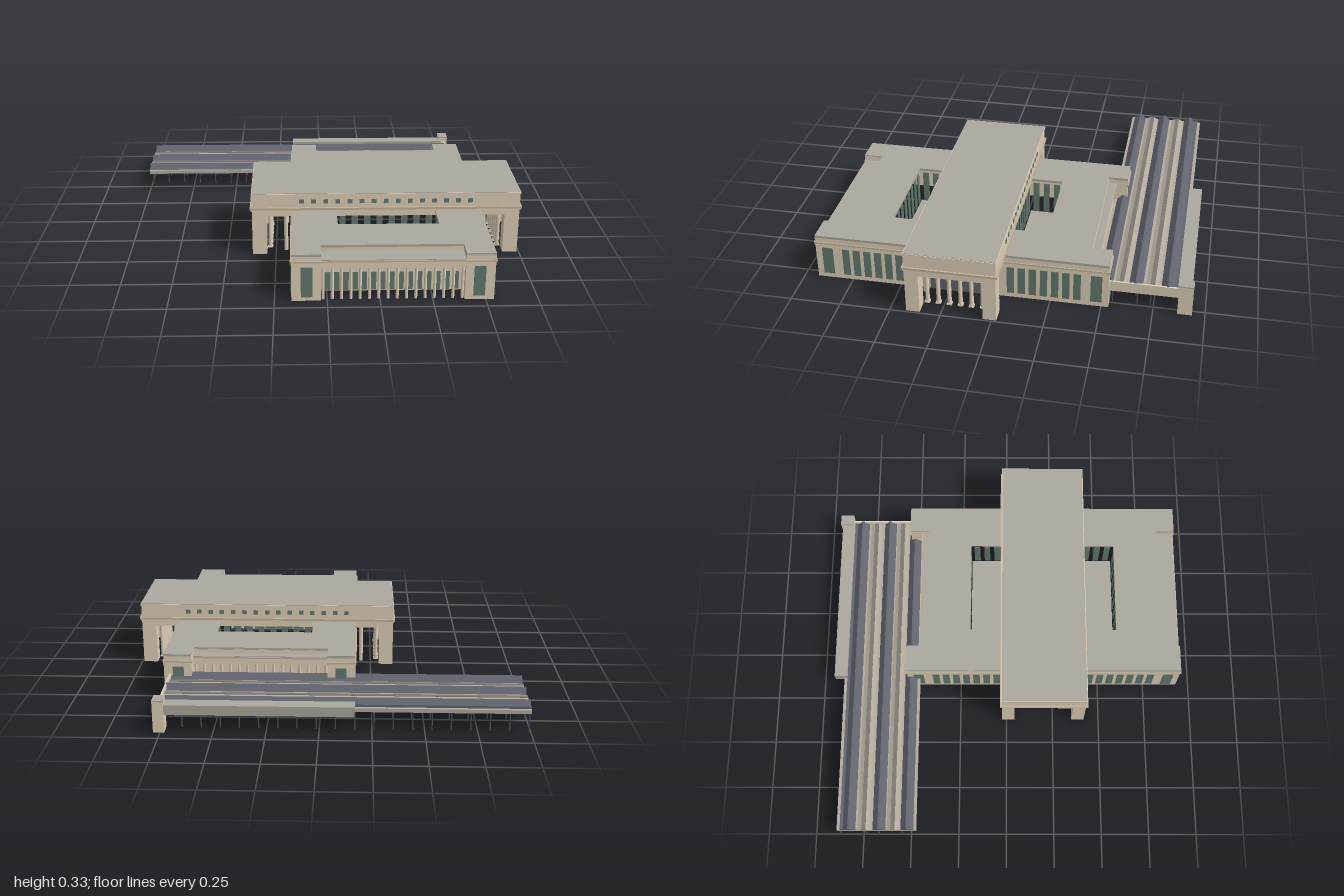
import * as THREE from 'three';

const mat = (name, color, side = THREE.FrontSide) => {
  const m = new THREE.MeshStandardMaterial({ color, side });
  m.name = name;
  return m;
};

export function createModel() {
  const stone = mat('limestone', 0xdfd0b8);
  const trim = mat('cornice stone', 0xc3b297);
  const roof = mat('roof grey', 0xaba89f);
  const glass = mat('green glass', 0x647a70, THREE.DoubleSide);
  const slate = mat('slate blue', 0x62656f);
  const iron = mat('dark iron', 0x4a4c4e);
  const canopyTan = mat('canopy tan', 0xb2aa9d);
  const gutterGrey = mat('gutter grey', 0x7c7872);

  const model = new THREE.Group();
  model.name = 'station';
  const group = (name) => {
    const g = new THREE.Group();
    g.name = name;
    model.add(g);
    return g;
  };
  const add = (parent, name, geo, material) => {
    const m = new THREE.Mesh(geo, material);
    m.name = name;
    parent.add(m);
    return m;
  };
  // Box given by its limits; each pair may be in either order
  const box = (p, name, material, x0, x1, y0, y1, z0, z1) => {
    const g = new THREE.BoxGeometry(Math.abs(x1 - x0), Math.abs(y1 - y0), Math.abs(z1 - z0));
    g.translate((x0 + x1) / 2, (y0 + y1) / 2, (z0 + z1) / 2);
    return add(p, name, g, material);
  };
  const column = (p, name, material, x, z, r, y0, y1, sides = 14) => {
    const g = new THREE.CylinderGeometry(r * 0.88, r, y1 - y0, sides);
    g.translate(x, (y0 + y1) / 2, z);
    return add(p, name, g, material);
  };
  // Profile of [z, y] points drawn out along x
  const prism = (p, name, material, pts, x0, x1) => {
    const s = new THREE.Shape(pts.map(([z, y]) => new THREE.Vector2(-z, y)));
    const g = new THREE.ExtrudeGeometry(s, { depth: x1 - x0, bevelEnabled: false });
    g.rotateY(Math.PI / 2).translate(x0, 0, 0);
    return add(p, name, g, material);
  };
  // Round-headed panel for the bays behind the columns
  const archPanel = new THREE.Shape();
  archPanel.moveTo(-0.0165, 0);
  archPanel.lineTo(0.0165, 0);
  archPanel.lineTo(0.0165, 0.148);
  archPanel.absarc(0, 0.148, 0.0165, 0, Math.PI, false);

  const CX = 0.31, CZ = 0.198, T = 0.012;   // plan centre and wall thickness

  // Front and rear wings, mirrored about the great hall
  for (const s of [1, -1]) {
    const wing = group(s > 0 ? 'frontWing' : 'rearWing');
    const Z = (d) => CZ + s * d;
    const ledge = s > 0 ? 0.727 : 0.668;

    // Flat roof with a notch over the colonnade and a light well by the hall
    const plan = [[-0.17, 0.222], [0.06, 0.222], [0.06, 0.393], [0.56, 0.393], [0.56, 0.222], [0.79, 0.222],
      [0.79, 0.733], [0.65, 0.733], [0.65, 0.631], [-0.03, 0.631], [-0.03, 0.733], [-0.17, 0.733]];
    const shape = new THREE.Shape(plan.map(([x, d]) => new THREE.Vector2(x, -Z(d))));
    const rg = new THREE.ExtrudeGeometry(shape, { depth: 0.012, bevelEnabled: false });
    rg.rotateX(-Math.PI / 2).translate(0, 0.229, 0);
    add(wing, 'wingRoof', rg, roof);

    // Side walls, end pavilions and windows, mirrored left and right
    for (const k of [1, -1]) {
      const X = (o) => CX + k * o;
      box(wing, 'sideWall', stone, X(0.48), X(0.48 - T), 0, 0.236, Z(0.222), Z(0.733));
      box(wing, 'pavilionWall', stone, X(0.48), X(0.34), 0, 0.236, Z(0.733), Z(0.733 - T));
      box(wing, 'pavilionReturn', stone, X(0.34), X(0.34 + T), 0, 0.236, Z(0.733), Z(0.62));
      for (const [y0, y1, out, m] of [[0.19, 0.198, 0.0025, stone], [0.198, 0.206, 0.005, trim]]) {
        box(wing, 'sideCornice', m, X(0.478), X(0.48 + out), y0, y1, Z(0.222), Z(0.733 + out));
        box(wing, 'pavilionCornice', m, X(0.48 + out), X(0.34 - out), y0, y1, Z(0.731), Z(0.733 + out));
      }
      box(wing, 'pavilionWindow', glass, X(0.435), X(0.38), 0.02, 0.175, Z(0.732), Z(0.736));
      box(wing, 'sideWindow', glass, X(0.479), X(0.483), 0.025, 0.175, Z(0.645), Z(0.7));
      for (let i = 0; i < 7; i++) {
        const d = 0.252 + i * 0.0545;
        box(wing, 'sideWindow', glass, X(0.479), X(0.483), 0.025, 0.175, Z(d - 0.018), Z(d + 0.018));
      }
    }

    // Colonnade between the pavilions, with arched bays on the wall behind
    box(wing, 'colonnadeWall', stone, -0.03, 0.65, 0, 0.236, Z(0.631), Z(0.631 - T));
    box(wing, 'colonnadeEntablature', stone, -0.03, 0.65, 0.165, 0.2, Z(0.631), Z(ledge));
    box(wing, 'colonnadeCornice', trim, -0.03, 0.65, 0.198, 0.206, Z(0.631), Z(ledge + 0.005));
    box(wing, 'colonnadeRoof', roof, -0.03, 0.65, 0.206, 0.209, Z(0.631), Z(ledge));
    for (let i = 0; i < 16; i++) {
      const x = -0.02 + i * 0.044;
      column(wing, 'colonnadeColumn', stone, x, Z(ledge - 0.014), 0.0075, 0, 0.165);
      if (i === 15) continue;
      const panel = new THREE.ExtrudeGeometry(archPanel, { depth: 0.004, bevelEnabled: false, curveSegments: 6 });
      panel.translate(x + 0.022, 0, Z(0.632) - 0.002);
      add(wing, 'archedBay', panel, stone);
      box(wing, 'colonnadeWindow', glass, x + 0.007, x + 0.037, 0.005, 0.1, Z(0.633), Z(0.636));
    }

    // Light well with standing windows
    box(wing, 'wellFloor', roof, 0.06, 0.56, 0.035, 0.04, Z(0.222), Z(0.393));
    for (let i = 0; i < 8; i++) {
      const x = 0.09 + i * 0.0629;
      for (const d of [0.216, 0.397])
        box(wing, 'wellWindow', glass, x - 0.016, x + 0.016, 0.04, 0.215, Z(d - 0.002), Z(d + 0.002));
    }
    for (let i = 0; i < 3; i++) {
      const d = 0.252 + i * 0.055;
      for (const x of [0.056, 0.564])
        box(wing, 'wellWindow', glass, x - 0.002, x + 0.002, 0.04, 0.215, Z(d - 0.016), Z(d + 0.016));
    }
  }

  // Great hall attic, cornices and roof
  const hall = group('greatHall');
  const bands = [[0.238, 0.247, 0.005, stone], [0.247, 0.258, 0.01, trim], [0.322, 0.332, 0.003, stone]];
  for (const s of [1, -1]) {
    const Z = (d) => CZ + s * d, X = (o) => CX + s * o;
    box(hall, 'atticSide', stone, -0.37, 0.99, 0.21, 0.33, Z(0.222), Z(0.222 - T));
    box(hall, 'atticEnd', stone, X(0.68), X(0.68 - T), 0.21, 0.33, CZ - 0.222, CZ + 0.222);
    for (const [y0, y1, out, m] of bands) {
      box(hall, 'sideCornice', m, -0.37 - out, 0.99 + out, y0, y1, Z(0.218), Z(0.222 + out));
      box(hall, 'endCornice', m, X(0.676), X(0.68 + out), y0, y1, CZ - 0.222 - out, CZ + 0.222 + out);
    }
    for (let i = 0; i < 15; i++) {
      const x = -0.118 + i * 0.0611;
      box(hall, 'atticWindow', glass, x - 0.012, x + 0.012, 0.28, 0.302, Z(0.221), Z(0.225));
    }
  }
  box(hall, 'hallRoof', roof, -0.37, 0.99, 0.326, 0.334, CZ - 0.222, CZ + 0.222);

  // Open porticoes at both ends of the hall
  for (const k of [1, -1]) {
    const p = group(k > 0 ? 'leftPortico' : 'rightPortico');
    const X = (o) => CX + k * o;
    box(p, 'endWall', stone, X(0.48), X(0.48 - T), 0, 0.24, CZ - 0.222, CZ + 0.222);
    box(p, 'darkScreen', slate, X(0.479), X(0.484), 0, 0.21, CZ - 0.15, CZ + 0.15);
    box(p, 'porticoCeiling', stone, X(0.479), X(0.678), 0.21, 0.218, CZ - 0.22, CZ + 0.22);
    for (const s of [1, -1]) {
      box(p, 'cornerPier', stone, X(0.605), X(0.68), 0, 0.212, CZ + s * 0.155, CZ + s * 0.222);
      column(p, 'wallColumn', stone, X(0.508), CZ + s * 0.17, 0.011, 0, 0.21);
    }
    for (let i = 0; i < 6; i++) {
      const z = CZ - 0.1375 + i * 0.055;
      column(p, 'porticoColumn', stone, X(0.59), z, 0.011, 0, 0.21);
      box(p, 'columnBase', stone, X(0.577), X(0.603), 0, 0.008, z - 0.013, z + 0.013);
      box(p, 'columnCapital', stone, X(0.577), X(0.603), 0.202, 0.21, z - 0.013, z + 0.013);
    }
  }

  // Platform canopies with long ridged rooflights
  const canopy = group('platformCanopy');
  box(canopy, 'canopyDeck', canopyTan, -1, 0.76, 0.093, 0.112, -0.88, -0.468);
  for (const z of [-0.515, -0.66, -0.815])
    prism(canopy, 'rooflight', slate,
      [[z + 0.035, 0.11], [z + 0.002, 0.14], [z - 0.006, 0.14], [z - 0.036, 0.11]], -1, 0.76);
  for (const z of [-0.59, -0.74]) {
    prism(canopy, 'canopyRidge', canopyTan,
      [[z + 0.036, 0.11], [z + 0.008, 0.122], [z - 0.008, 0.122], [z - 0.036, 0.11]], -1, 0.76);
    box(canopy, 'gutter', gutterGrey, -1, 0.76, 0.111, 0.1235, z - 0.011, z + 0.011);
  }
  box(canopy, 'edgeRooflight', slate, -1, 0.76, 0.111, 0.1235, -0.863, -0.848);
  box(canopy, 'endFascia', stone, 0.755, 0.765, 0.082, 0.136, -0.87, -0.53);
  for (let i = 0; i < 20; i++)
    for (const z of [-0.55, -0.67, -0.735, -0.87])
      column(canopy, 'canopyPost', iron, -0.992 + i * 0.0915, z, 0.004, 0, 0.094, 6);

  // Raised gallery behind the canopy and its end tower
  const gallery = group('gallery');
  box(gallery, 'galleryBody', roof, -0.168, 0.74, 0.088, 0.138, -0.931, -0.862);
  box(gallery, 'endTower', stone, 0.73, 0.783, 0, 0.158, -0.938, -0.867);
  box(gallery, 'towerRoof', roof, 0.729, 0.784, 0.157, 0.163, -0.939, -0.866);

  return model;
}
